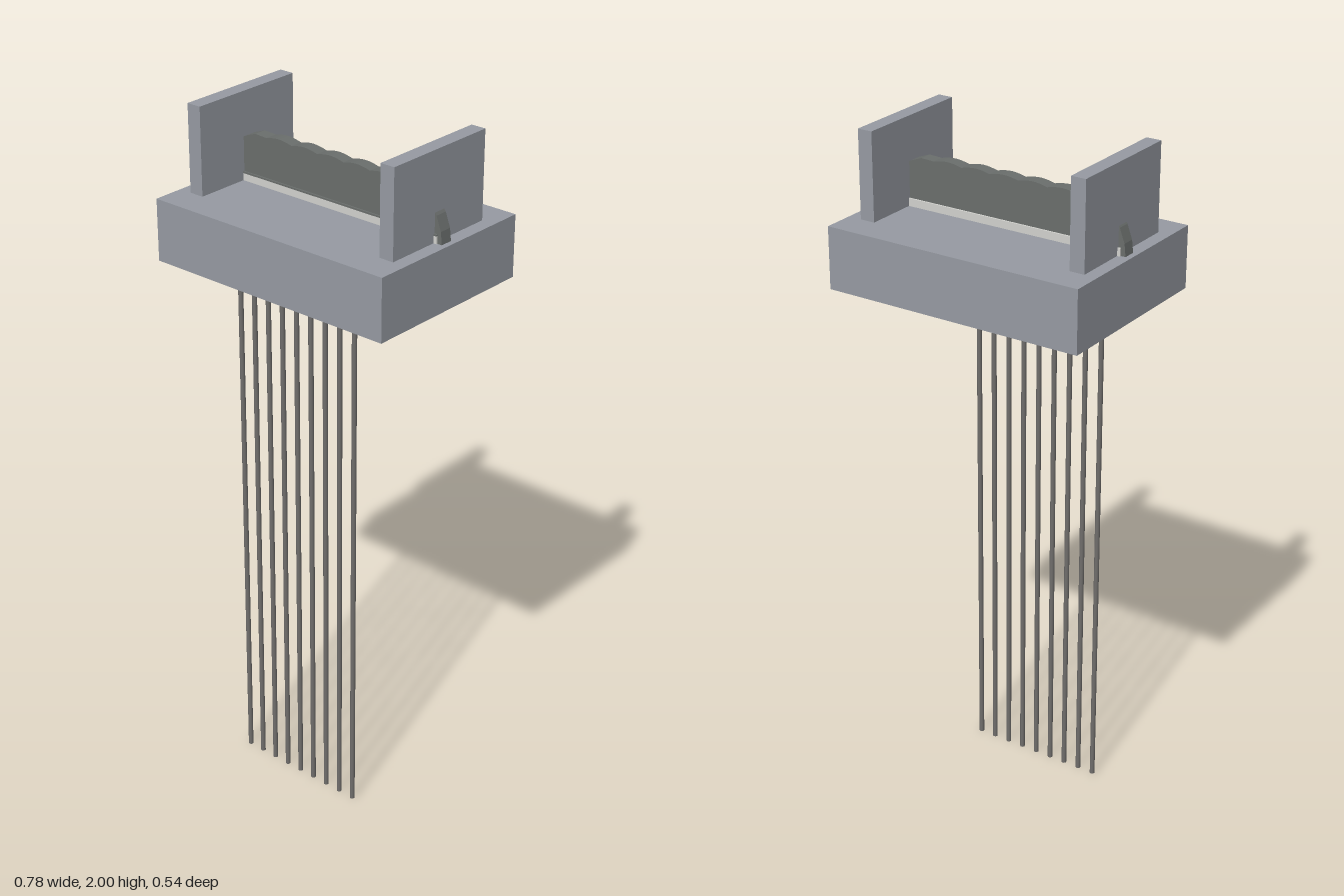
import * as THREE from 'three';

const mat = (name, color) => {
  const m = new THREE.MeshStandardMaterial({ color });
  m.name = name;
  return m;
};

export function createModel() {
  const group = new THREE.Group();
  const grey = mat('body grey', 0x969aa2);
  const dark = mat('dark grey', 0x6a6e6c);
  const steel = mat('pin grey', 0x706e6c);
  const pale = mat('pale strip', 0xd2d2ce);

  const add = (name, geo, material, x, y, z) => {
    const mesh = new THREE.Mesh(geo, material);
    mesh.name = name;
    mesh.position.set(x, y, z);
    group.add(mesh);
  };
  const box = (name, material, w, h, d, x, y, z) =>
    add(name, new THREE.BoxGeometry(w, h, d), material, x, y, z);

  // Base block and its two upright walls
  box('base', grey, 0.78, 0.178, 0.54, 0, 1.661, 0);
  box('rightWall', grey, 0.044, 0.25, 0.36, -0.33, 1.875, 0);
  box('leftWall', grey, 0.044, 0.25, 0.36, 0.328, 1.875, 0);

  // Pale strip under the blade, with a dark front lip
  box('strip', pale, 0.72, 0.022, 0.046, 0, 1.761, -0.002);
  box('stripLip', dark, 0.72, 0.005, 0.006, 0, 1.7735, 0.019);

  // Thin blade with rounded ends and a shallow scalloped top
  const half = [[0.374, 1.75], [0.37, 1.785], [0.355, 1.825], [0.33, 1.86], [0.30, 1.878], [0.265, 1.891]];
  const profile = half.map(([x, y]) => new THREE.Vector2(x, y));
  const steps = 40;
  for (let i = 0; i <= steps; i++) {
    const t = i / steps;
    profile.push(new THREE.Vector2(0.225 - 0.45 * t, 1.889 + 0.007 * Math.abs(Math.sin(t * Math.PI * 5))));
  }
  half.reverse().forEach(([x, y]) => profile.push(new THREE.Vector2(-x, y)));
  const blade = new THREE.ExtrudeGeometry(new THREE.Shape(profile), { depth: 0.037, bevelEnabled: false });
  add('blade', blade, dark, 0, 0, -0.02);

  // Row of nine long pins
  for (let i = 0; i < 9; i++) {
    add('pin', new THREE.CylinderGeometry(0.0072, 0.0072, 1.58, 12), steel, -0.204 + i * 0.0505, 0.79, 0.15);
  }
  return group;
}
